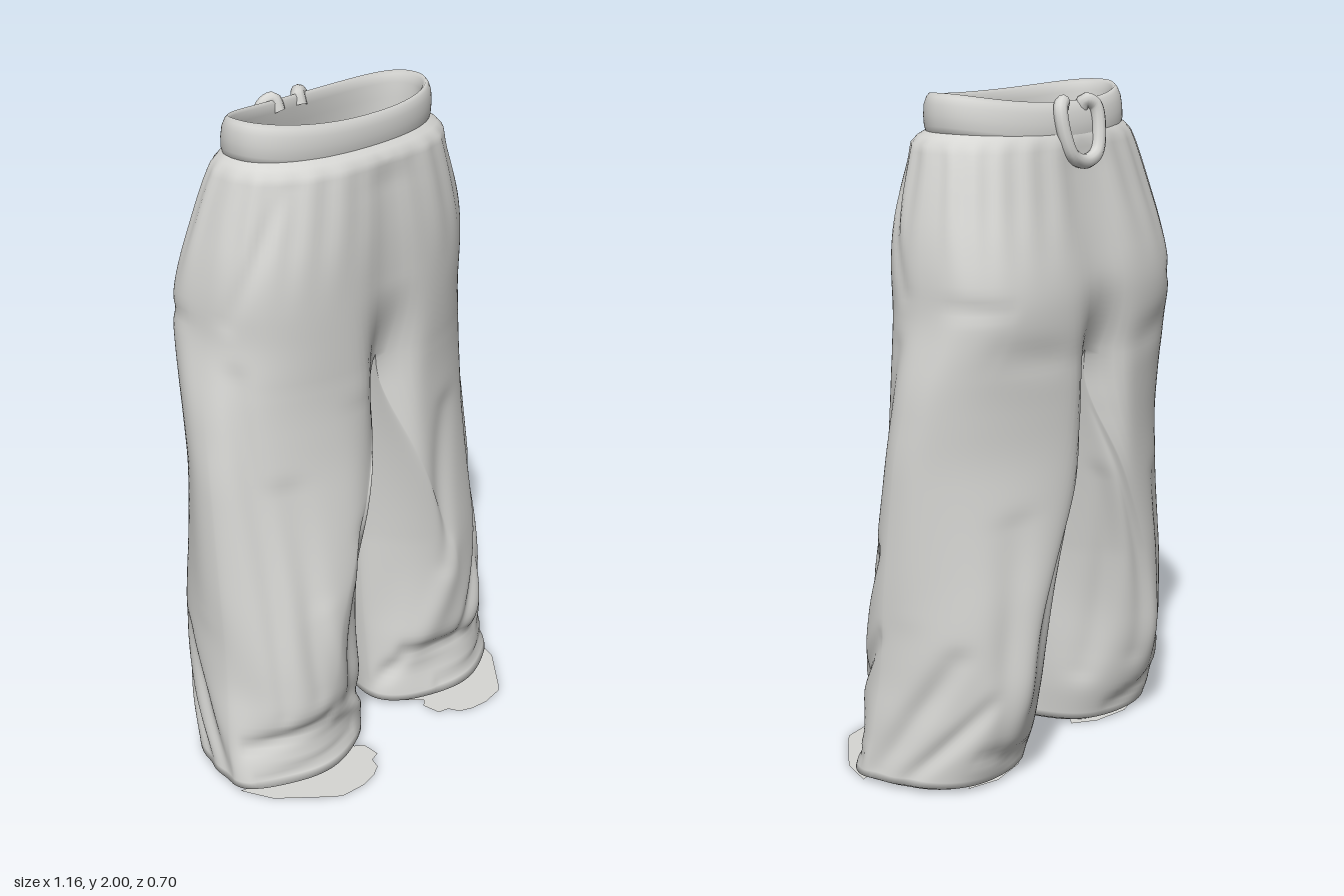
import * as THREE from 'three';
import { mergeVertices } from 'three/addons/utils/BufferGeometryUtils.js';

const N = 128;          // points around each leg
const STEP = 0.02;      // height of one row
const ROWS = 95;        // rows from hem to waist
const CROTCH = 63;      // row at which the two legs join

// y, half width, front z, back z, z of the widest point, front and back squareness
const PROFILE = [
  [0.00, 0.580, 0.240, -0.215, 0.07, 2.0, 2.0],
  [0.04, 0.580, 0.250, -0.235, 0.07, 2.0, 2.0],
  [0.10, 0.572, 0.205, -0.262, 0.06, 2.0, 2.0],
  [0.17, 0.566, 0.208, -0.290, 0.05, 2.0, 2.0],
  [0.22, 0.565, 0.240, -0.305, 0.05, 1.9, 1.9],
  [0.30, 0.555, 0.244, -0.325, 0.04, 1.8, 1.85],
  [0.60, 0.552, 0.242, -0.343, 0.02, 1.65, 1.8],
  [1.00, 0.542, 0.214, -0.348, -0.02, 1.7, 1.9],
  [1.20, 0.523, 0.203, -0.350, -0.06, 2.0, 2.2],
  [1.40, 0.482, 0.200, -0.353, -0.11, 2.6, 2.9],
  [1.48, 0.484, 0.198, -0.347, -0.11, 2.75, 2.9],
  [1.60, 0.470, 0.196, -0.320, -0.09, 2.75, 2.8],
  [1.70, 0.447, 0.190, -0.295, -0.08, 2.6, 2.6],
  [1.80, 0.420, 0.178, -0.272, -0.07, 2.5, 2.5],
  [1.87, 0.398, 0.165, -0.255, -0.05, 2.4, 2.4],
  [1.90, 0.358, 0.115, -0.230, -0.05, 2.2, 2.2],
];

// Creases (negative) and ridges: angle, y, angle, y, width, depth.
// Angle 0 is the outer side, 90 the front, 180 the inner side, 270 the back.
const SHARED = [
  [38, 1.84, 14, 1.46, 0.025, -0.010], [-8, 1.44, -45, 1.43, 0.025, -0.008],
  [20, 1.30, 50, 0.25, 0.035, -0.016], [-10, 1.35, -15, 0.55, 0.05, 0.006],
  [-5, 0.05, -40, 0.42, 0.035, -0.020], [-25, 0.04, -60, 0.28, 0.03, -0.016],
  [285, 1.27, 315, 1.31, 0.05, -0.008], [262, 1.05, 258, 0.25, 0.045, -0.020],
  [300, 0.80, 285, 0.15, 0.045, -0.016], [240, 0.85, 225, 0.20, 0.04, -0.018],
  [175, 0.06, 140, 0.16, 0.03, -0.016], [250, 0.06, 295, 0.12, 0.03, -0.016],
];
const RIGHT = [
  [78, 1.15, 95, 0.78, 0.04, -0.012], [95, 0.78, 125, 0.62, 0.04, -0.014],
  [45, 0.95, 75, 0.30, 0.04, -0.016], [120, 0.55, 122, 0.22, 0.06, -0.026],
  [20, 0.15, 88, 0.19, 0.025, -0.020], [100, 0.18, 150, 0.10, 0.03, 0.016],
  [30, 0.04, 120, 0.07, 0.02, -0.014], [75, 0.55, 105, 0.28, 0.05, 0.012],
];
const LEFT = [
  [62, 1.02, 105, 0.50, 0.04, -0.016], [22, 0.70, 85, 0.22, 0.035, -0.022],
  [8, 0.45, 60, 0.20, 0.03, -0.018], [95, 0.55, 125, 0.25, 0.05, 0.012],
  [60, 0.17, 140, 0.20, 0.025, -0.020], [15, 0.07, 110, 0.05, 0.02, -0.014],
];

const smooth = (a, b, v) => THREE.MathUtils.smoothstep(v, a, b);
const spow = (v, p) => Math.sign(v) * Math.pow(Math.abs(v), p);

function lookup(y, k) {
  y = THREE.MathUtils.clamp(y, 0, 1.9);
  let i = 0;
  while (i < PROFILE.length - 2 && PROFILE[i + 1][0] < y) i++;
  const a = PROFILE[i], b = PROFILE[i + 1];
  return a[k] + (b[k] - a[k]) * (y - a[0]) / (b[0] - a[0]);
}
// Softened profile value
function profile(y, k) {
  if (y > 1.87) return lookup(y, k);
  const r = Math.min(0.05, (1.88 - y) / 2);
  let sum = 0;
  for (let s = -2; s <= 2; s++) sum += lookup(y + s * r / 2, k);
  return sum / 5;
}

function foldDepth(folds, phi, y) {
  let total = 0;
  for (const [a0, y0, a1, y1, width, depth] of folds) {
    const k = Math.PI / 180 * 0.28;
    let da = (phi * 180 / Math.PI - a0) % 360;
    if (da > 180) da -= 360;
    if (da < -180) da += 360;
    const px = da * k, py = y - y0, sx = (a1 - a0) * k, sy = y1 - y0;
    const t = THREE.MathUtils.clamp((px * sx + py * sy) / (sx * sx + sy * sy), 0, 1);
    const d2 = (px - sx * t) ** 2 + (py - sy * t) ** 2;
    total += depth * Math.exp(-d2 / (width * width)) * (0.3 + 0.7 * Math.sin(Math.PI * (0.1 + 0.8 * t)));
  }
  return total;
}

// A half-torso section that rounds off into a leg section below the crotch
function surfacePoint(phi, y, folds, inset) {
  const xo = profile(y, 1), zf = profile(y, 2), zb = profile(y, 3), zc = profile(y, 4);
  const c = Math.cos(phi), s = Math.sin(phi);
  const p = 2 / profile(y, s > 0 ? 5 : 6);
  const below = THREE.MathUtils.clamp((1.259 - y) / 0.66, 0, 1);
  const gap = 0.048 * Math.pow(below, 0.6);
  const w = 1 - smooth(0.3, 1.26, y);
  const cx = (gap + xo) / 2, a = (xo - gap) / 2;
  const torsoX = c > 1e-9 ? gap + (xo - gap) * Math.pow(c, p) : gap;
  const x = torsoX + (cx + a * spow(c, p) - torsoX) * w;
  let r = (s > 0 ? zf - zc : zc - zb) * spow(s, p);
  // Centre groove, deeper towards the crotch
  const deep = 1 - smooth(1.15, 1.5, y);
  const groove = 0.07 + 0.27 * deep;
  r *= 1 - groove * Math.exp(-((x / (0.09 - 0.02 * deep)) ** 2)) * (1 - smooth(1.78, 1.9, y));
  // Folds and the gathers below the waistband
  let d = foldDepth(folds, phi, y);
  d += 0.003 * Math.sin(phi * 22) * smooth(1.45, 1.75, y) * (1 - smooth(1.84, 1.89, y));
  d += 0.005 * Math.sin(phi * 5 + y * 9) * (1 - smooth(0.2, 0.7, y));
  d = d * Math.min(1, x / 0.08) - inset;
  return [x + d * c, y, zc + r + d * s];
}

function gridGeometry(positions, index) {
  const g = new THREE.BufferGeometry();
  g.setAttribute('position', new THREE.Float32BufferAttribute(positions, 3));
  g.setIndex(index);
  const merged = mergeVertices(g, 1e-4);
  merged.computeVertexNormals();
  return merged;
}

// Both legs, rows first to last, moved inwards by inset; row 0 is the hem turned under
function legsGeometry(first, last, inset) {
  const positions = [], index = [];
  for (const side of [1, -1]) {
    const base = positions.length / 3;
    const folds = SHARED.concat(side > 0 ? LEFT : RIGHT);
    for (let j = first; j <= last; j++) {
      for (let i = 0; i < N; i++) {
        const [x, y, z] = surfacePoint(i / N * Math.PI * 2, j * STEP, folds, j === 0 ? 0.035 : inset);
        positions.push(side * x, y, z);
      }
    }
    for (let j = first; j < last; j++) {
      for (let i = 0; i < N; i++) {
        // No inner wall above the crotch
        if (j >= CROTCH && i >= N / 4 && i < N * 3 / 4) continue;
        const row = base + (j - first) * N;
        const a = row + i, b = row + (i + 1) % N, c = a + N, d = b + N;
        if (side > 0) index.push(a, c, b, b, c, d);
        else index.push(a, b, c, b, d, c);
      }
    }
  }
  return gridGeometry(positions, index);
}

// Rounded band swept around the waist, leaning outwards at the back
function waistbandGeometry() {
  const section = [[-0.03, 1.87], [-0.008, 1.885], [0, 1.91], [0.002, 1.94], [0, 1.97], [-0.007, 1.99],
    [-0.016, 2.0], [-0.025, 1.99], [-0.03, 1.965], [-0.032, 1.92], [-0.034, 1.86]];
  const positions = [], index = [], M = section.length;
  for (let i = 0; i < N; i++) {
    const phi = i / N * Math.PI * 2, c = Math.cos(phi), s = Math.sin(phi);
    for (const [o, y] of section) {
      const dip = (s > 0 ? 0.022 : 0.034) * s * s;
      const depth = s > 0 ? 0.178 : 0.18 + (2 - y) * 0.2;
      positions.push((0.373 + o) * spow(c, 0.9), y - dip, -0.05 + (depth + o) * spow(s, 0.9));
    }
    for (let k = 0; k < M - 1; k++) {
      const a = i * M + k, b = ((i + 1) % N) * M + k;
      index.push(a, a + 1, b, b, a + 1, b + 1);
    }
  }
  return gridGeometry(positions, index);
}

// Flat sheet from an outline of x, z points
const sheet = (outline, side) => new THREE.ShapeGeometry(
  new THREE.Shape(outline.map(([x, z]) => new THREE.Vector2(side * x, -z)))).rotateX(-Math.PI / 2);

export function createModel() {
  const group = new THREE.Group();
  const cloth = new THREE.MeshStandardMaterial({ color: 0xd6d6d3, side: THREE.DoubleSide });
  cloth.name = 'light grey cloth';
  const dark = new THREE.MeshStandardMaterial({ color: 0x45463d, side: THREE.DoubleSide });
  dark.name = 'dark lining';
  const add = (name, geometry, material = cloth) => {
    const mesh = new THREE.Mesh(geometry, material);
    mesh.name = name;
    group.add(mesh);
    return mesh;
  };
  add('trouserLegs', legsGeometry(0, ROWS, 0));
  add('hemLining', legsGeometry(1, 15, 0.008), dark);
  add('waistband', waistbandGeometry());

  // Looped drawstring hanging at the back
  const cord = [[-0.045, 1.93, -0.21], [-0.05, 1.965, -0.225], [-0.08, 1.95, -0.24], [-0.08, 1.88, -0.255],
    [-0.055, 1.82, -0.265], [0, 1.80, -0.268]];
  const path = cord.concat(cord.slice(0, -1).reverse().map(([x, y, z]) => [-x, y, z]));
  const curve = new THREE.CatmullRomCurve3(path.map((p) => new THREE.Vector3(...p)));
  add('drawstring', new THREE.TubeGeometry(curve, 64, 0.021, 10));

  // Ragged cloth lying on the ground at the front and back of each hem
  const frontFlap = [[0.1, 0.12], [0.17, 0.2], [0.145, 0.22], [0.15, 0.28], [0.185, 0.29], [0.2, 0.325], [0.24, 0.345],
    [0.3, 0.355], [0.38, 0.345], [0.41, 0.32], [0.46, 0.27], [0.53, 0.2], [0.57, 0.1], [0.45, 0.13], [0.3, 0.15], [0.18, 0.1]];
  const backFlap = [[0.13, -0.14], [0.2, -0.19], [0.32, -0.21], [0.42, -0.18], [0.3, -0.12], [0.22, -0.07],
    [0.16, -0.06], [0.17, -0.1]];
  // Dark sheet closing the outer half of each hem
  const hemSheet = [[0.32, -0.12], [0.42, -0.17], [0.5, -0.1], [0.54, 0.05], [0.5, 0.14], [0.4, 0.18], [0.25, 0.18],
    [0.12, 0.1], [0.2, 0.01]];
  for (const side of [1, -1]) {
    const label = side > 0 ? 'left' : 'right';
    add(label + 'FrontHemFlap', sheet(frontFlap, side));
    add(label + 'BackHemFlap', sheet(backFlap, side));
    add(label + 'HemSheet', sheet(hemSheet, side), dark).position.y = 0.012;
  }
  // Light patch inside the right hem
  add('rightHemPatch', sheet([[0.2, -0.05], [0.2, 0.17], [0.12, 0.11], [0.1, 0.02]], -1)).position.y = 0.016;
  return group;
}
